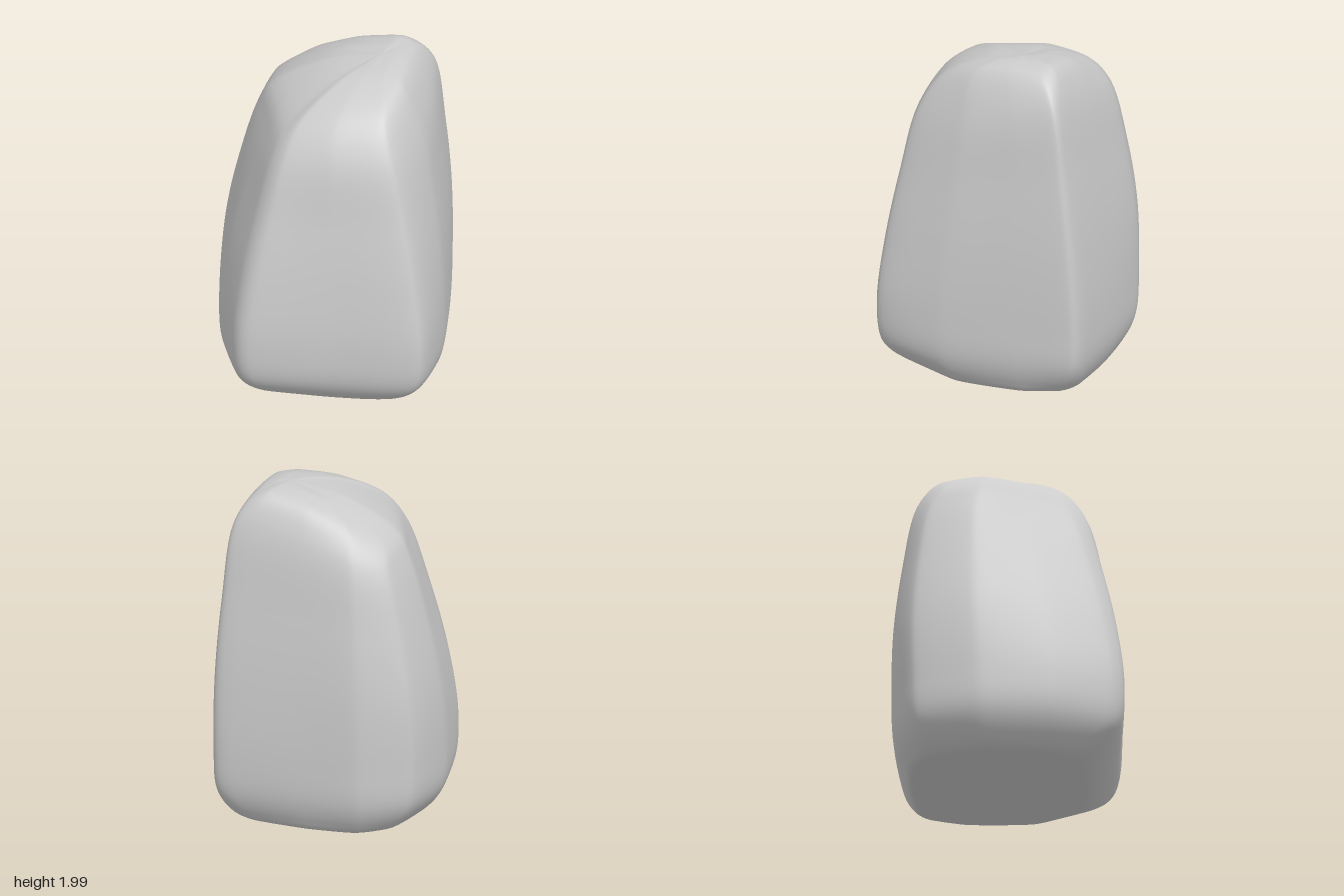
import * as THREE from 'three';

// Outlines run from the front right corner round the front, left side, back and right side.
// Flat base, [x, z]
const foot = [
  [-0.34, 0.38], [-0.23, 0.43], [0.12, 0.42], [0.37, 0.36], [0.54, 0.08], [0.51, -0.3], [0.42, -0.5],
  [0.31, -0.56], [0, -0.57], [-0.28, -0.53], [-0.43, -0.4], [-0.5, -0.08], [-0.44, 0.2],
];
// Widest outline, [x, z]
const belly = [
  [-0.44, 0.63], [-0.33, 0.69], [0.15, 0.625], [0.64, 0.54], [0.685, 0.14], [0.62, -0.3], [0.545, -0.64],
  [0.44, -0.685], [0.05, -0.68], [-0.34, -0.65], [-0.62, -0.49], [-0.685, -0.12], [-0.6, 0.3],
];
// Where the sides turn into the sloping top, [x, y, z]
const shoulder = [
  [-0.27, 1.58, 0.37], [-0.18, 1.6, 0.44], [0.1, 1.62, 0.45], [0.43, 1.62, 0.38], [0.53, 1.66, 0.05],
  [0.52, 1.74, -0.25], [0.48, 1.8, -0.49], [0.38, 1.83, -0.51], [0.05, 1.75, -0.525], [-0.25, 1.66, -0.52],
  [-0.44, 1.6, -0.41], [-0.48, 1.58, -0.15], [-0.38, 1.57, 0.12],
];
// Edge of the top, [x, y, z]
const rim = [
  [-0.2, 1.74, 0.27], [-0.12, 1.78, 0.31], [0.1, 1.82, 0.31], [0.35, 1.84, 0.25], [0.42, 1.91, 0.03],
  [0.41, 1.95, -0.2], [0.4, 1.95, -0.39], [0.3, 1.975, -0.42], [0.05, 1.92, -0.43], [-0.2, 1.82, -0.42],
  [-0.38, 1.73, -0.33], [-0.39, 1.74, -0.13], [-0.3, 1.74, 0.08],
];
const crown = new THREE.Vector3(0.24, 1.99, -0.19);
const AROUND = 130, UP = 70;

// Control points of one vertical rib, from the middle of the base to the crown
function ribPoints(i) {
  const base = new THREE.Vector3(foot[i][0], 0, foot[i][1]);
  const wide = new THREE.Vector3(belly[i][0], 0.45, belly[i][1]);
  const top = new THREE.Vector3(...shoulder[i]);
  const edge = new THREE.Vector3(...rim[i]);
  const points = [new THREE.Vector3(), base.clone().multiplyScalar(0.5), base];
  // Undercut between base and widest outline
  for (const [t, y] of [[0.5, 0.07], [0.9, 0.2]]) points.push(base.clone().lerp(wide, t).setY(y));
  points.push(wide);
  // Slightly swollen sides
  for (const t of [0.33, 0.67]) {
    const p = wide.clone().lerp(top, t);
    const bulge = 1 + (0.2 - 0.2 * Math.min(wide.x, 0)) * t * (1 - t);
    points.push(p.set(p.x * bulge, p.y, p.z * bulge));
  }
  // Gently domed top
  const dome = edge.clone().lerp(crown, 0.5);
  dome.y += 0.008 + 0.2 * (crown.y - edge.y);
  points.push(top, edge, dome, crown);
  return points;
}

function stoneGeometry() {
  const ribs = belly.map((_, i) => new THREE.CatmullRomCurve3(ribPoints(i)));
  const positions = [0, 0, 0], index = [];
  // Rings between the two poles, tight enough to keep the corners firm
  for (let r = 1; r < UP; r++) {
    const ring = new THREE.CatmullRomCurve3(ribs.map((rib) => rib.getPoint(r / UP)), true, 'catmullrom', 0.28);
    for (let k = 0; k < AROUND; k++) {
      const p = ring.getPoint(k / AROUND);
      positions.push(p.x, Math.max(0, p.y), p.z);
    }
  }
  positions.push(crown.x, crown.y, crown.z);
  const last = positions.length / 3 - 1;
  const at = (r, k) => 1 + (r - 1) * AROUND + (k % AROUND);
  for (let k = 0; k < AROUND; k++) {
    index.push(0, at(1, k + 1), at(1, k));
    for (let r = 1; r < UP - 1; r++) {
      const a = at(r, k), b = at(r, k + 1), c = at(r + 1, k + 1), d = at(r + 1, k);
      index.push(a, b, c, a, c, d);
    }
    index.push(at(UP - 1, k), at(UP - 1, k + 1), last);
  }
  const geometry = new THREE.BufferGeometry();
  geometry.setAttribute('position', new THREE.Float32BufferAttribute(positions, 3));
  geometry.setIndex(index);
  geometry.computeVertexNormals();
  return geometry;
}

export function createModel() {
  const group = new THREE.Group();
  group.name = 'boulder';
  const stone = new THREE.Mesh(stoneGeometry(), new THREE.MeshStandardMaterial({ color: 0xcccccc }));
  stone.name = 'stone';
  group.add(stone);
  return group;
}
